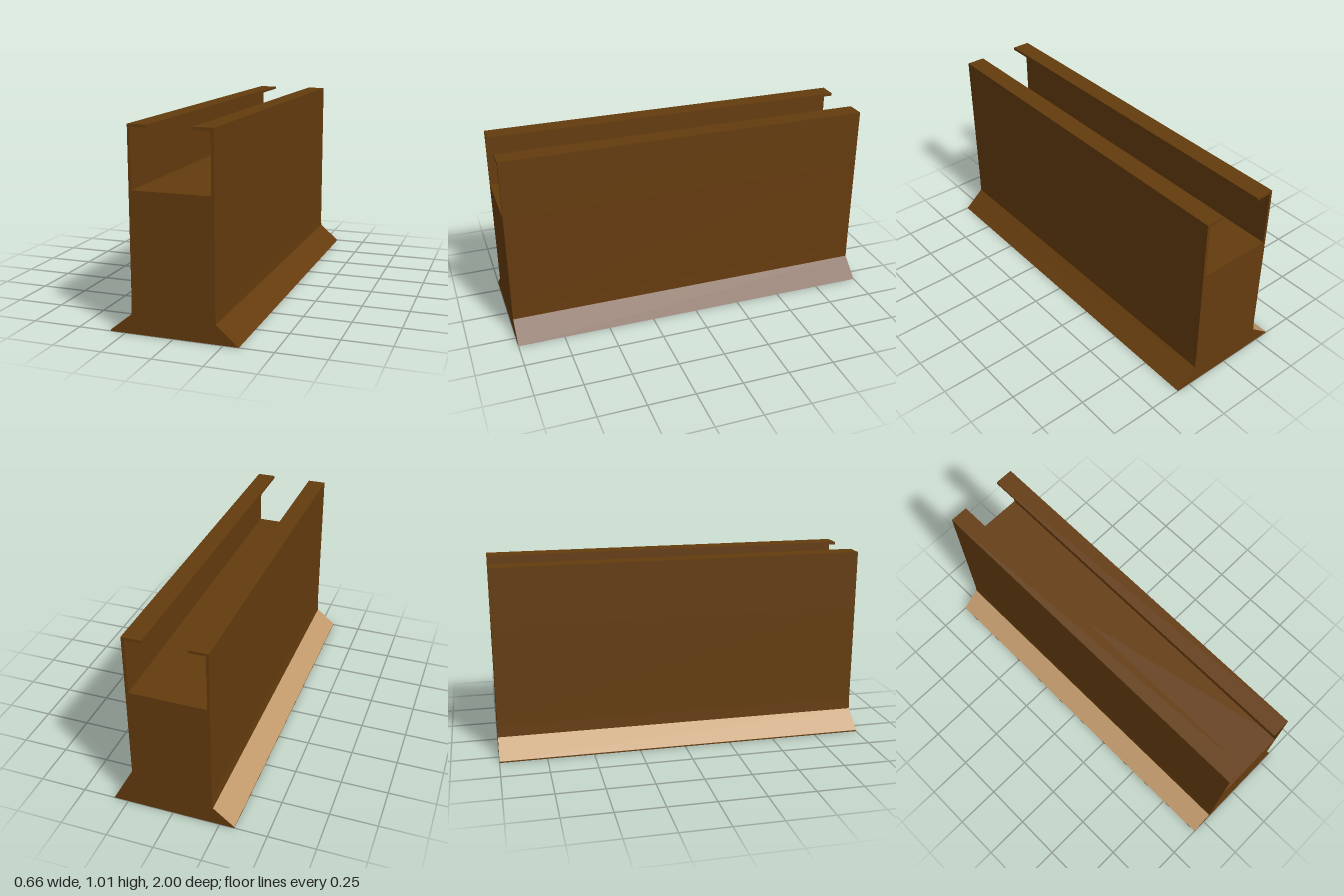
import * as THREE from 'three';

const LENGTH = 2;

export function createModel() {
  const model = new THREE.Group();
  model.name = 'slottedRail';

  const brown = new THREE.MeshStandardMaterial({ color: 0x653c0e });
  brown.name = 'dark brown';
  const tan = new THREE.MeshStandardMaterial({ color: 0xc19a6b });
  tan.name = 'light tan';

  // Extrudes an x-y cross-section along the whole length, centred on z
  function addProfile(name, points, material) {
    const shape = new THREE.Shape(points.map(([x, y]) => new THREE.Vector2(x, y)));
    const geometry = new THREE.ExtrudeGeometry(shape, { depth: LENGTH, bevelEnabled: false });
    geometry.translate(0, 0, -LENGTH / 2);
    const mesh = new THREE.Mesh(geometry, material);
    mesh.name = name;
    model.add(mesh);
  }

  // Solid lower block with a slight step and a flared foot
  addProfile('body', [
    [-0.329, 0], [0.328, 0], [0.215, 0.097], [0.213, 0.16], [0.213, 0.705],
    [-0.213, 0.705], [-0.213, 0.16], [-0.217, 0.097], [-0.329, 0.006],
  ], brown);

  // Upright walls with lips turned inward over the channel
  addProfile('leftWall', [
    [0.197, 0.705], [0.213, 0.705], [0.213, 1.015], [0.111, 1.015], [0.111, 1], [0.197, 1],
  ], brown);
  addProfile('rightWall', [
    [-0.213, 0.705], [-0.199, 0.705], [-0.199, 1], [-0.113, 1], [-0.113, 1.015], [-0.213, 1.015],
  ], brown);

  // Thin pale facing on the slope of the right foot
  addProfile('rightFootFacing', [
    [-0.329, 0.006], [-0.217, 0.097], [-0.218, 0.099], [-0.33, 0.008],
  ], tan);

  return model;
}
